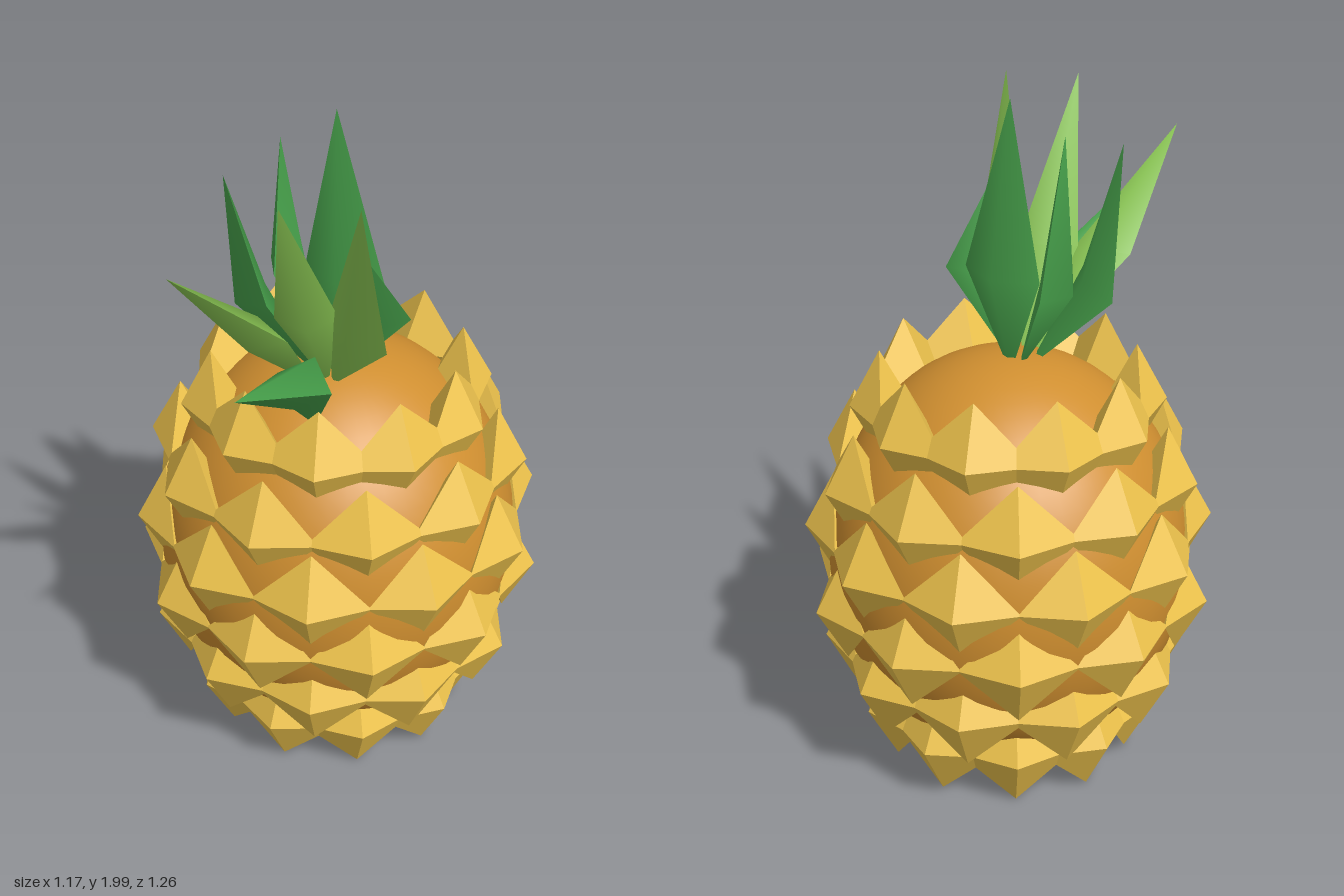
import * as THREE from 'three';

const CENTER_Z = -0.05;

const paint = (color, flatShading = false) => new THREE.MeshStandardMaterial({ color, flatShading });

// Pointed leaf: two smooth sheets that meet in sharp side edges
function leafGeometry(base, tip, left, right, thickness) {
  const [b, t, l, r] = [base, tip, left, right].map((p) => new THREE.Vector3(...p));
  const middle = l.clone().add(r).multiplyScalar(0.5);
  const normal = r.clone().sub(l).cross(t.clone().sub(b)).normalize();
  const points = [];
  const index = [];
  for (const side of [1, -1]) {
    const ridge = middle.clone().addScaledVector(normal, side * thickness);
    const rim = side > 0 ? [b, r, t, l] : [b, l, t, r];
    const start = points.length;
    points.push(...rim, ridge);
    for (let i = 0; i < 4; i++) index.push(start + i, start + ((i + 1) % 4), start + 4);
  }
  const geometry = new THREE.BufferGeometry().setFromPoints(points);
  geometry.setIndex(index);
  geometry.computeVertexNormals();
  return geometry;
}

export function createModel() {
  const group = new THREE.Group();
  group.name = 'pineapple';

  // Smooth egg-shaped core
  const core = new THREE.Mesh(new THREE.SphereGeometry(1, 48, 32), paint(0xd08f30));
  core.name = 'core';
  core.scale.set(0.52, 0.61, 0.52);
  core.position.set(0, 0.645, CENTER_Z);
  group.add(core);

  // Six rings of ten faceted scales, every other ring turned by half a step
  const scaleGeometry = new THREE.OctahedronGeometry(1, 0).scale(0.088, 0.168, 0.168);
  const scaleMaterial = paint(0xefc44d, true);
  const rings = [[0.178, 0.355], [0.365, 0.452], [0.553, 0.497], [0.74, 0.497], [0.93, 0.455], [1.118, 0.357]];
  rings.forEach(([y, radius], row) => {
    const ring = new THREE.Group();
    ring.name = `scaleRing${row + 1}`;
    ring.position.set(0, y, CENTER_Z);
    for (let i = 0; i < 10; i++) {
      const angle = ((i + (row % 2 ? 0 : 0.5)) * Math.PI) / 5;
      const scale = new THREE.Mesh(scaleGeometry, scaleMaterial);
      scale.name = 'scale';
      scale.position.set(Math.cos(angle) * radius, 0, Math.sin(angle) * radius);
      scale.rotation.y = -angle;
      ring.add(scale);
    }
    group.add(ring);
  });

  // Crown of leaves: base, tip, left corner, right corner, half thickness
  const dark = paint(0x48a34c);
  const light = paint(0x8ac653);
  const leaves = [
    ['centreLeaf', dark, [0, 1.2, -0.04], [0, 2, -0.04], [-0.1, 1.5, -0.05], [0.14, 1.5, -0.05], 0.06],
    ['backLeaf', dark, [-0.01, 1.2, -0.02], [-0.14, 1.91, 0.01], [-0.17, 1.5, -0.16], [-0.15, 1.5, 0.04], 0.05],
    ['rightLeaf', dark, [-0.02, 1.2, 0.02], [-0.225, 1.855, 0.17], [-0.275, 1.45, 0.04], [-0.11, 1.48, 0.16], 0.05],
    ['leftLeaf', dark, [0.03, 1.2, 0.02], [0.155, 1.76, 0.18], [0.06, 1.45, 0.06], [0.245, 1.45, 0.005], 0.05],
    ['leftFrontLeaf', light, [0.03, 1.2, 0.05], [0.24, 1.94, 0.31], [0.07, 1.5, 0.14], [0.265, 1.46, 0.2], 0.05],
    ['middleFrontLeaf', light, [0.02, 1.2, 0.05], [0.055, 1.94, 0.395], [-0.05, 1.5, 0.23], [0.1, 1.5, 0.15], 0.05],
    ['rightFrontLeaf', light, [0, 1.2, 0.07], [-0.165, 1.78, 0.575], [-0.18, 1.48, 0.3], [0, 1.45, 0.25], 0.05],
    ['lowFrontLeaf', dark, [0.055, 1.17, 0.2], [0.05, 1.51, 0.63], [-0.02, 1.36, 0.27], [0.14, 1.34, 0.27], 0.075],
  ];
  const crown = new THREE.Group();
  crown.name = 'crown';
  for (const [name, material, ...shape] of leaves) {
    const leaf = new THREE.Mesh(leafGeometry(...shape), material);
    leaf.name = name;
    crown.add(leaf);
  }
  group.add(crown);

  return group;
}
